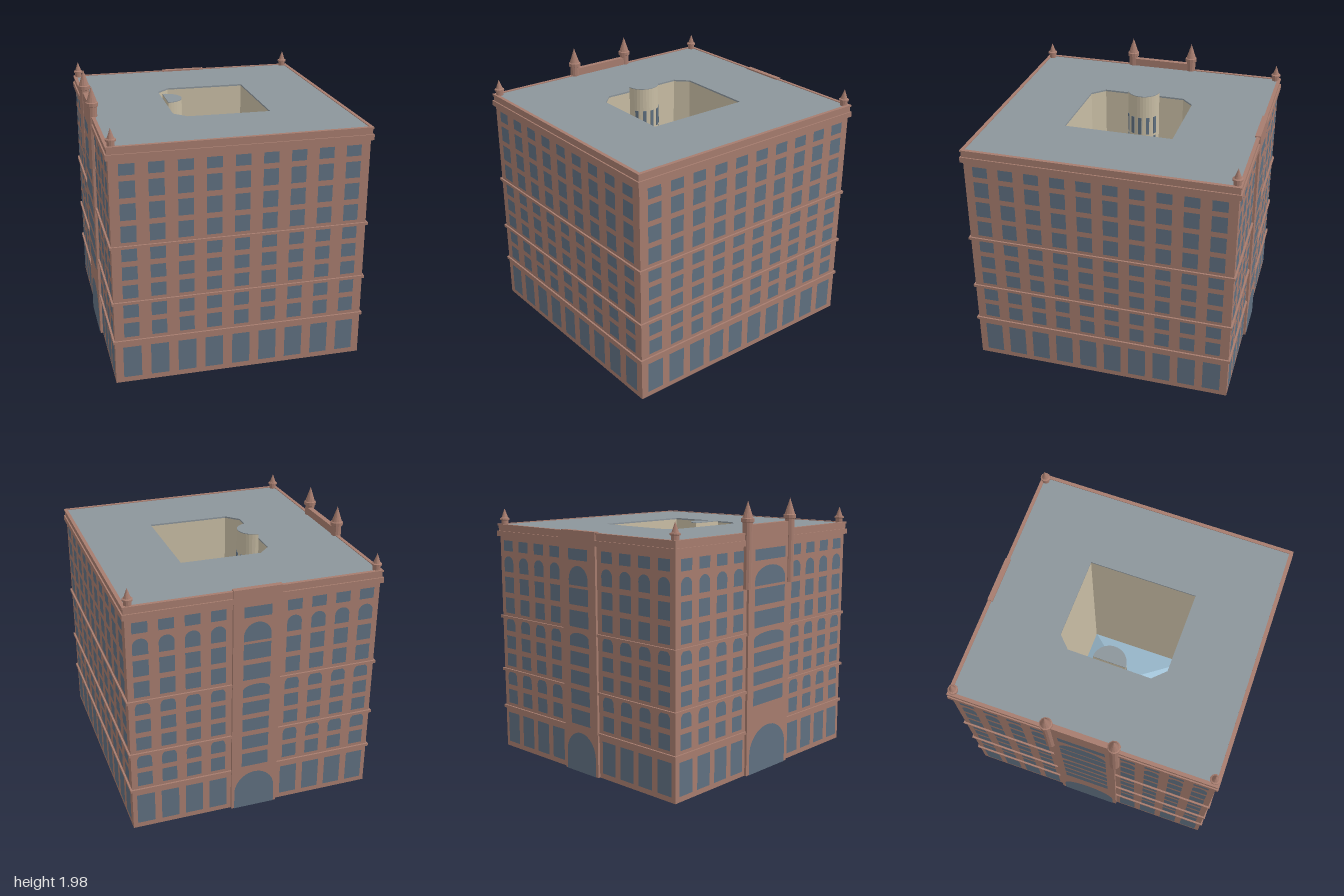
import * as THREE from 'three';

const mat = (color, extra = {}) => new THREE.MeshStandardMaterial({ color, ...extra });
const brick = mat(0xa67c6e);
const glass = mat(0x5f7080, { side: THREE.DoubleSide });
const roofGrey = mat(0x8c959b);
const cream = mat(0xc8bda4);
const skylightBlue = mat(0x9fc0d4, { side: THREE.DoubleSide });

// Plan corners [x, z]: front left of plan, front right, back right, back left
const corners = [[-0.89, 0.98], [0.935, 0.945], [0.91, -0.985], [-0.915, -0.96]];
const court = [[-0.33, 0.31], [-0.24, 0.4], [0.37, 0.4], [0.36, -0.4], [-0.24, -0.4], [-0.33, -0.31]];
const rows = [[0.36, 0.47], [0.51, 0.62], [0.66, 0.76], [0.8, 0.9], [0.94, 1.04],
  [1.08, 1.2], [1.24, 1.36], [1.4, 1.52], [1.56, 1.64]];
const archedRows = [1, 4, 7];

function add(parent, name, geometry, material, x = 0, y = 0, z = 0) {
  const mesh = new THREE.Mesh(geometry, material);
  mesh.name = name;
  mesh.position.set(x, y, z);
  parent.add(mesh);
  return mesh;
}

// Move plan points outward from the centre by d
const offset = (pts, d) => pts.map(([x, z]) => [x + Math.sign(x) * d, z + Math.sign(z) * d]);
const toPoints = (pts) => pts.map(([x, z]) => new THREE.Vector2(x, -z));

// Vertical prism over a plan outline, with an optional hole
function prism(outer, inner, y0, y1) {
  const shape = new THREE.Shape(toPoints(outer));
  if (inner) shape.holes.push(new THREE.Path(toPoints(inner)));
  const g = new THREE.ExtrudeGeometry(shape, { depth: y1 - y0, bevelEnabled: false });
  return g.rotateX(-Math.PI / 2).translate(0, y0, 0);
}

// Window pane, with a rounded head of the given rise
function pane(w, y0, y1, rise = 0) {
  const s = new THREE.Shape();
  s.moveTo(-w / 2, y0);
  s.lineTo(w / 2, y0);
  s.lineTo(w / 2, y1 - rise);
  if (rise) s.absellipse(0, y1 - rise, w / 2, rise, 0, Math.PI, false);
  else s.lineTo(w / 2, y1);
  s.lineTo(-w / 2, y1 - rise);
  return new THREE.ShapeGeometry(s, 10);
}

// Group whose x runs along a wall and whose z points outward
function facade(root, name, a, b) {
  const g = new THREE.Group();
  g.name = name;
  g.position.set((a[0] + b[0]) / 2, 0, (a[1] + b[1]) / 2);
  g.rotation.y = Math.atan2(-(b[1] - a[1]), b[0] - a[0]);
  root.add(g);
  return g;
}

function windowGrid(face, columns, arched) {
  for (const x of columns) {
    add(face, 'groundWindow', pane(0.13, 0.04, 0.28), glass, x, 0, 0.003);
    rows.forEach(([y0, y1], i) => {
      const rise = arched && archedRows.includes(i) ? 0.05 : 0;
      add(face, 'window', pane(0.108, y0, y1, rise), glass, x, 0, 0.003);
    });
  }
}

// Projecting entrance bay with a portal arch and a stack of wide windows
function entranceBay(face, x, width, height, paneWidth, portalHeight) {
  const depth = 0.04, front = 0.018;
  add(face, 'entranceBay', new THREE.BoxGeometry(width, height, depth), brick, x, height / 2, front - depth / 2);
  const z = front + 0.003;
  add(face, 'portal', pane(width * 0.88, 0, portalHeight, portalHeight * 0.55), glass, x, 0, z);
  rows.forEach(([y0, y1], i) => {
    if (y0 < portalHeight + 0.02) return;
    const rise = i === 7 ? 0.1 : i === 4 ? 0.04 : 0;
    add(face, 'bayWindow', pane(paneWidth, y0 - (i === 7 ? 0.02 : 0), y1, rise), glass, x, 0, z);
  });
}

function spire(root, name, x, z, profile) {
  const pts = profile.map(([r, y]) => new THREE.Vector2(r, y));
  const g = new THREE.LatheGeometry(pts, 12).toNonIndexed();
  g.computeVertexNormals();
  add(root, name, g, brick, x, 0, z);
}

export function createModel() {
  const root = new THREE.Group();
  root.name = 'courtyardBuilding';

  // Hollow outer walls, string courses and cornice
  const inside = offset(corners, -0.012);
  add(root, 'outerWalls', prism(corners, inside, 0, 1.755), brick);
  const bands = [[0.315, 0.335, 0.013], [0.615, 0.635, 0.013], [1.035, 1.055, 0.013],
    [1.67, 1.71, 0.018], [1.71, 1.75, 0.008], [1.75, 1.762, 0.014]];
  for (const [y0, y1, d] of bands) {
    add(root, y0 > 1.6 ? 'cornice' : 'stringCourse', prism(offset(corners, d), inside, y0, y1), brick);
  }

  // Flat roof with the light well opening
  add(root, 'roof', prism(offset(corners, -0.008), court, 1.745, 1.757), roofGrey);

  // Facades
  const [fl, fr, br, bl] = corners;
  const spread = (n, step, mid) => Array.from({ length: n }, (_, i) => mid + (i - (n - 1) / 2) * step);
  windowGrid(facade(root, 'frontFacade', fl, fr), spread(9, 0.198, 0), false);
  windowGrid(facade(root, 'plainSideFacade', fr, br), spread(10, 0.188, 0), false);
  const back = facade(root, 'backFacade', br, bl);
  windowGrid(back, [...spread(4, 0.18, -0.545), ...spread(4, 0.18, 0.545)], true);
  entranceBay(back, 0, 0.35, 1.768, 0.2, 0.3);
  const side = facade(root, 'turretSideFacade', bl, fl);
  windowGrid(side, [...spread(4, 0.178, -0.6), ...spread(4, 0.178, 0.605)], true);
  entranceBay(side, 0.002, 0.48, 1.815, 0.35, 0.34);

  // Tall turrets flanking the side bay
  const tall = [[0, 1.37], [0.036, 1.37], [0.036, 1.83], [0.046, 1.835], [0.046, 1.86], [0.038, 1.865], [0, 1.98]];
  spire(root, 'tallTurret', -0.91, -0.235, tall);
  spire(root, 'tallTurret', -0.904, 0.252, tall);

  // Small corner pinnacles
  const small = [[0.027, 1.74], [0.027, 1.79], [0.036, 1.793], [0.036, 1.805], [0.025, 1.81], [0, 1.88]];
  for (const [x, z] of [[-0.89, -0.935], [0.878, -0.962], [-0.862, 0.953]]) {
    spire(root, 'cornerPinnacle', x, z, small);
  }

  // Light well walls
  add(root, 'courtyardWalls', prism(offset(court, 0.006), court, 0.335, 1.746), cream);

  // Half-round stair tower with a grey cap and slit windows
  const half = Array.from({ length: 17 }, (_, i) => {
    const t = -Math.PI / 2 + (i / 16) * Math.PI;
    return [-0.328 + 0.122 * Math.cos(t), 0.122 * Math.sin(t)];
  }).reverse();
  add(root, 'stairTower', prism(half, null, 0.335, 1.785), cream);
  add(root, 'stairTowerCap', prism(half, null, 1.785, 1.79), roofGrey);
  for (const a of [-1, -0.5, 0, 0.5, 1]) {
    for (const [y0, y1] of rows.slice(0, 8)) {
      const slit = add(root, 'stairWindow', new THREE.BoxGeometry(0.026, y1 - y0 + 0.02, 0.01), glass,
        -0.328 + 0.12 * Math.cos(a), (y0 + y1) / 2 + 0.08, 0.12 * Math.sin(a));
      slit.rotation.y = Math.PI / 2 - a;
    }
  }

  // Hipped skylight at the foot of the light well
  const yb = 0.335, yt = 0.56;
  const p = [[-0.33, yb, 0.4], [0.37, yb, 0.4], [0.365, yb, -0.4], [-0.33, yb, -0.4], [0.02, yt, 0.05], [0.02, yt, -0.05]];
  const faces = [0, 1, 4, 1, 2, 5, 1, 5, 4, 2, 3, 5, 3, 0, 4, 3, 4, 5];
  const sky = new THREE.BufferGeometry();
  sky.setAttribute('position', new THREE.Float32BufferAttribute(faces.flatMap((i) => p[i]), 3));
  sky.computeVertexNormals();
  add(root, 'skylight', sky, skylightBlue);

  return root;
}
